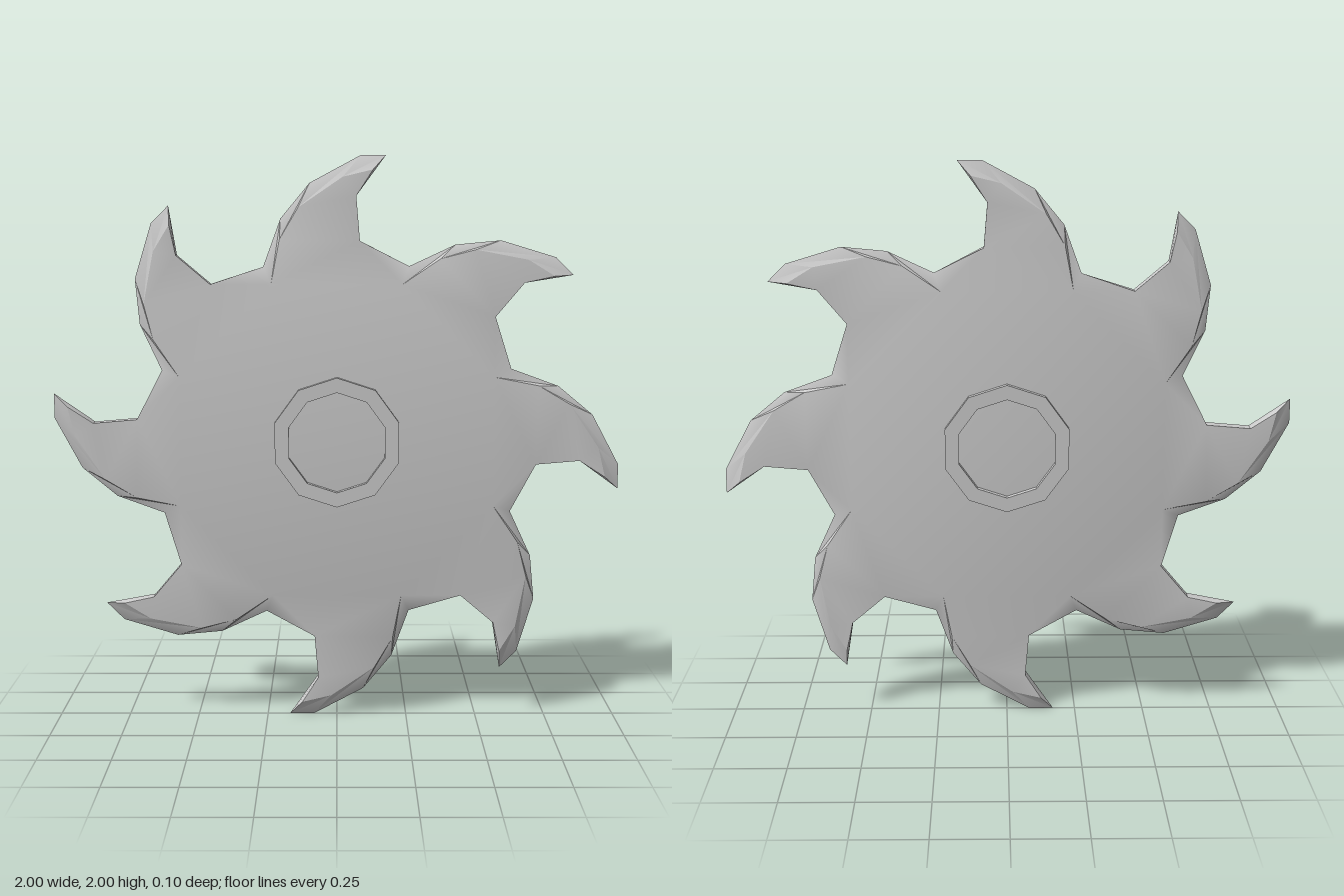
import * as THREE from 'three';
import { toCreasedNormals } from 'three/addons/utils/BufferGeometryUtils.js';

const TEETH = 8;
const H = 0.025; // half thickness of the plate

// One tooth, relative to the disc centre.
// Lower case: corners of the flat faces (z = +-H). Upper case: knife edge (z = 0).
const P = {
  o: [0, 0],
  a: [-0.23, 0.555], b: [-0.2, 0.71], c: [-0.135, 0.82], d: [0.02, 0.925], e: [0.125, 0.95],
  g: [0.067, 0.86], f: [0.08, 0.705],
  A: [-0.258, 0.615], B: [-0.197, 0.782], C: [-0.095, 0.905], D: [0.083, 1], T: [0.17, 1],
};

// Triangles of the front half; "n" and "N" are a and A of the next tooth.
const FACES = [
  'ona', 'anf', 'afb', 'bfc', 'fgc', 'cgd', 'ged', // flat face
  'abB', 'aBA', 'bcC', 'bCB', 'cdD', 'cDC', 'deT', 'dTD', // ground bevel
  'gTe', 'fnN', // tip and gullet facets
];

function bladeGeometry() {
  const pos = [];
  for (let i = 0; i < TEETH; i++) {
    const put = (key, side) => {
      const next = key === 'n' || key === 'N';
      const [x, y] = P[key === 'n' ? 'a' : key === 'N' ? 'A' : key];
      const t = -(i + (next ? 1 : 0)) * 2 * Math.PI / TEETH;
      const z = key === key.toLowerCase() ? H * side : 0;
      pos.push(x * Math.cos(t) - y * Math.sin(t), x * Math.sin(t) + y * Math.cos(t), z);
    };
    for (const [p, q, r] of FACES) {
      put(p, 1); put(q, 1); put(r, 1);
      put(p, -1); put(r, -1); put(q, -1);
    }
    // Straight walls joining front and back on the hooked side
    const walls = [
      ['f', 1, 'f', -1, 'g', -1], ['f', 1, 'g', -1, 'g', 1],
      ['g', 1, 'g', -1, 'T', 1], ['f', -1, 'f', 1, 'N', 1],
    ];
    for (const w of walls) for (let k = 0; k < 6; k += 2) put(w[k], w[k + 1]);
  }
  const geo = new THREE.BufferGeometry();
  geo.setAttribute('position', new THREE.Float32BufferAttribute(pos, 3));
  return toCreasedNormals(geo, Math.PI / 6);
}

// Ten-sided ring standing proud of both faces
function hubGeometry() {
  const decagon = (r) => Array.from({ length: 10 }, (_, i) => {
    const t = Math.PI / 2 + i * Math.PI / 5;
    return new THREE.Vector2(r * Math.cos(t), r * Math.sin(t));
  });
  const ring = new THREE.Shape(decagon(0.23));
  ring.holes.push(new THREE.Path(decagon(0.178)));
  return new THREE.ExtrudeGeometry(ring, { depth: 0.1, bevelEnabled: false }).translate(0, 0, -0.05);
}

export function createModel() {
  const group = new THREE.Group();
  group.name = 'toothedDisc';
  const material = new THREE.MeshStandardMaterial({ color: 0xcccccc });
  const add = (name, geometry) => {
    const mesh = new THREE.Mesh(geometry, material);
    mesh.name = name;
    mesh.position.y = 1;
    group.add(mesh);
  };
  add('blade', bladeGeometry());
  add('hubRing', hubGeometry());
  return group;
}
